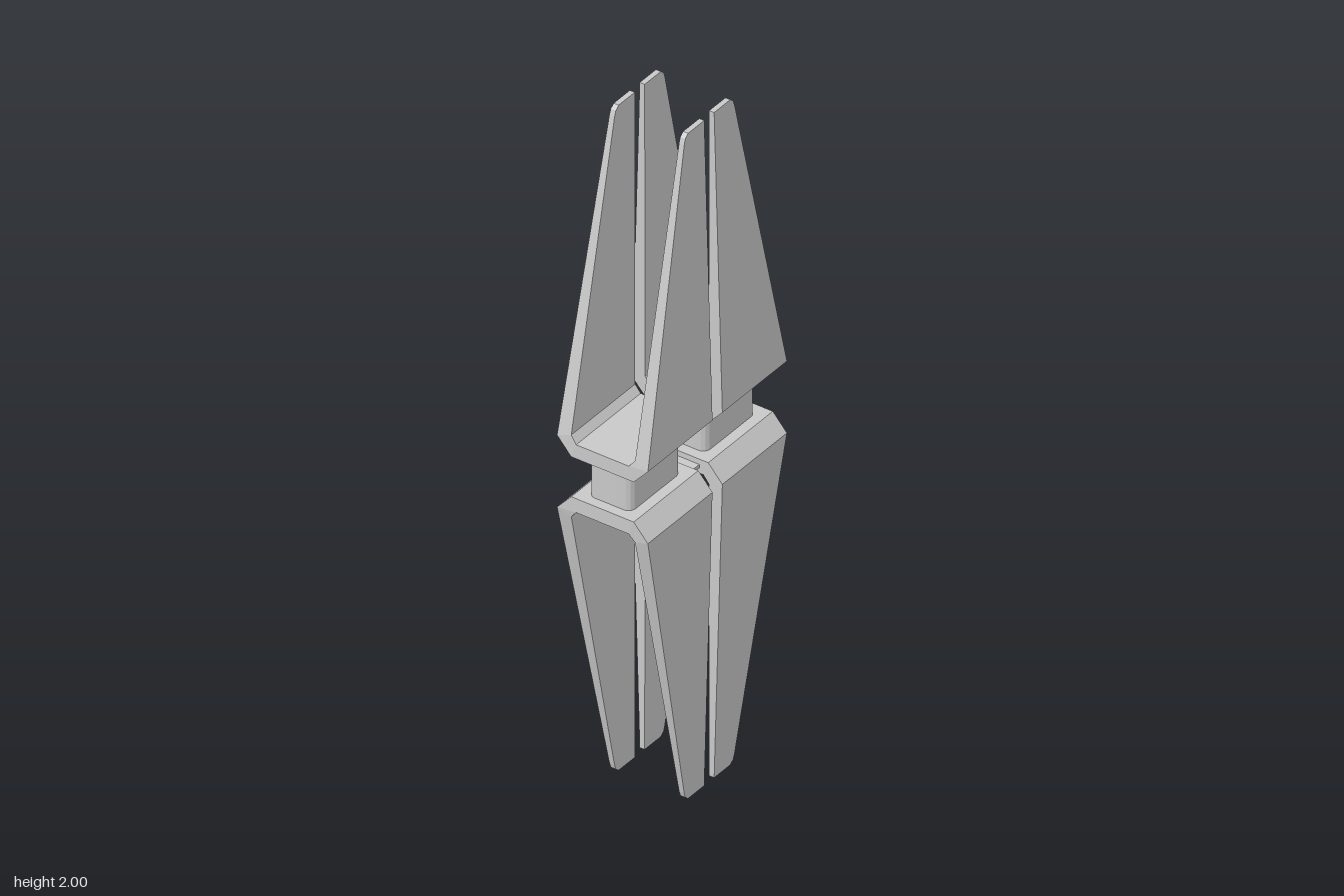
import * as THREE from 'three';
import { toCreasedNormals } from 'three/addons/utils/BufferGeometryUtils.js';

const INNER = 0.021, OUTER = 0.296; // x range of one bracket
const BASE = 0.06;                  // bracket base, measured from mid height

// Outer x of a bracket at height y above the middle: full base, long taper, rounded tip
const EDGE = [[0, OUTER], [0.108, OUTER], [0.975, 0.107], [0.99, 0.102], [1, 0.09]];
function outerX(y) {
  const i = Math.max(1, EDGE.findIndex(([top]) => y <= top));
  const [y0, x0] = EDGE[i - 1], [y1, x1] = EDGE[i];
  return x0 + (x1 - x0) * (y - y0) / (y1 - y0);
}

// U-shaped fork bracket: four-cornered sections swept from the back tip to the front tip
function bracketGeometry() {
  const half = [ // outside z, y and inside z, y, from the base up the arm
    [0.095, BASE, 0.08, 0.102],
    [0.138, 0.108, 0.097, 0.123],
    [0.1137, 0.975, 0.098, 0.975],
    [0.1133, 0.99, 0.098, 0.99],
    [0.113, 1, 0.098, 1],
  ];
  const back = half.map(([zo, yo, zi, yi]) => [-zo, yo, -zi, yi]).reverse();
  const sections = [...back, ...half];
  const positions = [], index = [];
  const quad = (a, b, c, d) => index.push(a, b, c, a, c, d);

  sections.forEach(([zo, yo, zi, yi], i) => {
    positions.push(INNER, yo, zo, outerX(yo), yo, zo, outerX(yi), yi, zi, INNER, yi, zi);
    if (i === 0) return;
    const p = 4 * (i - 1), q = 4 * i;
    for (let k = 0; k < 4; k++) {
      const n = (k + 1) % 4;
      quad(p + k, p + n, q + n, q + k);
    }
  });
  const end = 4 * (sections.length - 1);
  quad(0, 3, 2, 1);
  quad(end, end + 1, end + 2, end + 3);

  const indexed = new THREE.BufferGeometry();
  indexed.setAttribute('position', new THREE.Float32BufferAttribute(positions, 3));
  indexed.setIndex(index);
  const geo = indexed.toNonIndexed();
  geo.computeVertexNormals();
  return geo;
}

// Upright post with rounded vertical corners
function postGeometry() {
  const w = 0.108, d = 0.065, r = 0.022;
  const s = new THREE.Shape();
  s.absarc(w - r, d - r, r, 0, Math.PI / 2);
  s.absarc(-w + r, d - r, r, Math.PI / 2, Math.PI);
  s.absarc(-w + r, -d + r, r, Math.PI, Math.PI * 1.5);
  s.absarc(w - r, -d + r, r, Math.PI * 1.5, Math.PI * 2);
  const geo = new THREE.ExtrudeGeometry(s, { depth: 2 * BASE + 0.02, bevelEnabled: false, curveSegments: 6 });
  geo.translate(0, 0, -BASE - 0.01).rotateX(Math.PI / 2);
  return toCreasedNormals(geo, 0.6);
}

export function createModel() {
  const model = new THREE.Group();
  model.name = 'doubleForkClip';
  const grey = new THREE.MeshStandardMaterial({ color: 0xc8c8c8 });
  grey.name = 'lightGrey';

  const add = (name, geo, x = 0, y = 0) => {
    const mesh = new THREE.Mesh(geo, grey);
    mesh.name = name;
    mesh.position.set(x, 1 + y, 0);
    model.add(mesh);
    return mesh;
  };

  // Four brackets, each a half turn of the first
  const bracket = bracketGeometry();
  add('upperLeftBracket', bracket);
  add('upperRightBracket', bracket).rotation.y = Math.PI;
  add('lowerLeftBracket', bracket).rotation.x = Math.PI;
  add('lowerRightBracket', bracket).rotation.z = Math.PI;

  // Posts between upper and lower brackets
  const post = postGeometry();
  add('leftPost', post, 0.159);
  add('rightPost', post, -0.159);

  // Thin webs joining the left and right brackets
  const web = new THREE.BoxGeometry(2 * INNER + 0.01, 0.01, 0.136);
  add('upperWeb', web, 0, 0.081);
  add('lowerWeb', web, 0, -0.081);

  return model;
}
